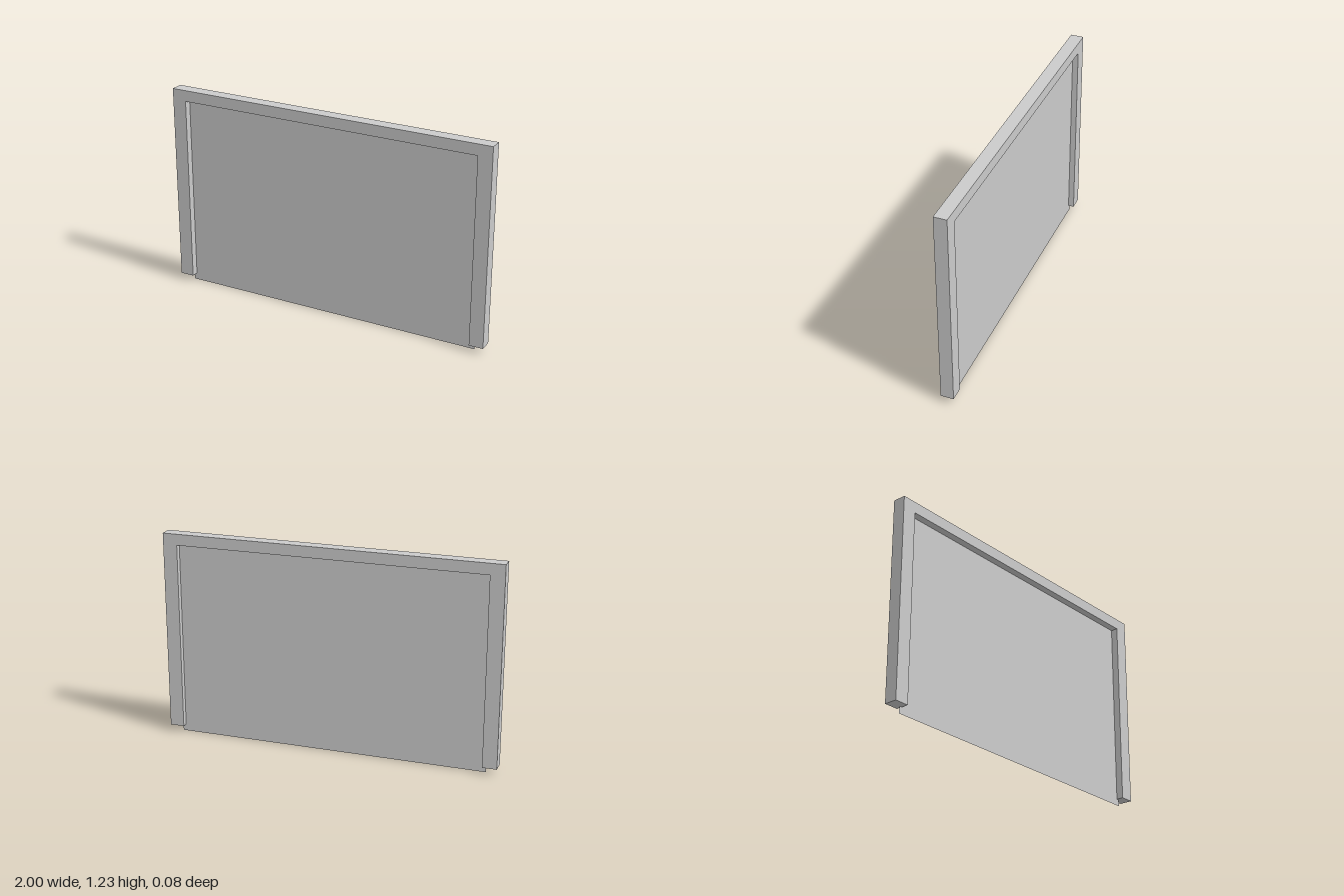
import * as THREE from 'three';

export function createModel() {
  const group = new THREE.Group();
  const material = new THREE.MeshStandardMaterial({ color: 0xcccccc, flatShading: true });
  const depth = 0.076;

  // Three-sided frame: two jambs and a head, open at the bottom
  const outline = [
    [-1, 0.04], [-0.915, 0.04], [-0.915, 1.164], [0.915, 1.164],
    [0.915, 0.04], [1, 0.04], [1, 1.23], [-1, 1.23],
  ].map(([x, y]) => new THREE.Vector2(x, y));
  const frameGeometry = new THREE.ExtrudeGeometry(new THREE.Shape(outline), { depth, bevelEnabled: false });
  frameGeometry.translate(0, 0, -depth / 2);
  const frame = new THREE.Mesh(frameGeometry, material);
  frame.name = 'frame';
  group.add(frame);

  // Thin sheet tucked into the frame and hanging just below it
  const top = 1.18;
  const panelMaterial = material.clone();
  panelMaterial.side = THREE.DoubleSide;
  const panel = new THREE.Mesh(new THREE.PlaneGeometry(1.865, top), panelMaterial);
  panel.position.set(0, top / 2, -0.004);
  panel.name = 'panel';
  group.add(panel);

  return group;
}
